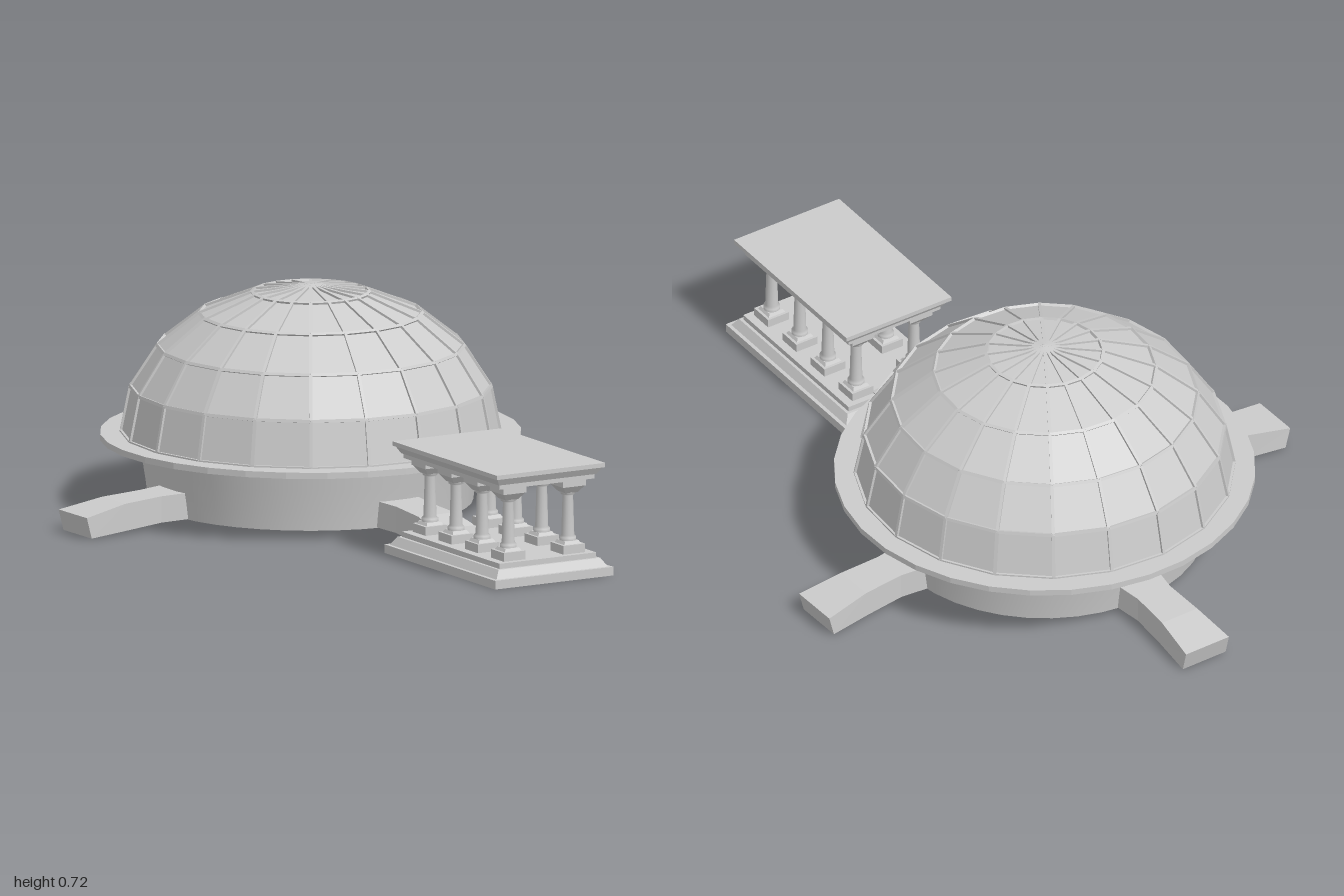
import * as THREE from 'three';
import { mergeGeometries } from 'three/addons/utils/BufferGeometryUtils.js';

const smooth = new THREE.MeshStandardMaterial({ color: 0xcccccc, side: THREE.DoubleSide });
const flat = new THREE.MeshStandardMaterial({ color: 0xcccccc, flatShading: true });

function add(parent, name, geometry, material = flat) {
  const mesh = new THREE.Mesh(geometry, material);
  mesh.name = name;
  parent.add(mesh);
  return mesh;
}

// Box between y0 and y1 whose bottom and top may differ in size
function frustum(y0, y1, w0, d0, w1 = w0, d1 = d0) {
  const g = new THREE.BoxGeometry(1, 1, 1);
  const p = g.attributes.position;
  for (let i = 0; i < p.count; i++) {
    const top = p.getY(i) > 0;
    p.setXYZ(i, p.getX(i) * (top ? w1 : w0), top ? y1 : y0, p.getZ(i) * (top ? d1 : d0));
  }
  g.computeVertexNormals();
  return g;
}

// Box bent along +x through sections of [xTop, yTop, xBottom, yBottom, halfWidth]
function loftedBox(sections) {
  const n = sections.length - 1;
  const g = new THREE.BoxGeometry(1, 1, 1, n, 1, 1);
  const p = g.attributes.position;
  for (let i = 0; i < p.count; i++) {
    const [xt, yt, xb, yb, w] = sections[Math.round((p.getX(i) + 0.5) * n)];
    const top = p.getY(i) > 0;
    p.setXYZ(i, top ? xt : xb, top ? yt : yb, p.getZ(i) * 2 * w);
  }
  g.computeVertexNormals();
  return g;
}

// Thin square bar from a to b, turned to face outward
function bar(a, b, out, width, depth) {
  const o = new THREE.Object3D();
  o.up.copy(out);
  o.position.copy(a).add(b).multiplyScalar(0.5);
  o.lookAt(b);
  o.updateMatrix();
  return new THREE.BoxGeometry(width, depth, a.distanceTo(b)).applyMatrix4(o.matrix);
}

const SIDES = 20, ROWS = 5, DOME_Y = 0.33;
function domePoint(row, side, r, h) {
  const t = (row / ROWS) * Math.PI / 2, a = (side / SIDES) * Math.PI * 2;
  return new THREE.Vector3(
    Math.sin(a) * Math.cos(t) * r, DOME_Y + Math.sin(t) * h, Math.cos(a) * Math.cos(t) * r);
}

function buildDome(hall) {
  // Faceted panels
  const profile = [];
  for (let i = 0; i <= ROWS; i++) {
    const p = domePoint(i, 0, 0.598, 0.47);
    profile.push(new THREE.Vector2(Math.max(p.z, 0), p.y));
  }
  add(hall, 'domePanels', new THREE.LatheGeometry(profile, SIDES), flat);

  // Meridian and ring ribs
  const bars = [];
  for (let s = 0; s < SIDES; s++) {
    for (let r = 0; r < ROWS; r++) {
      const a = domePoint(r, s, 0.6, 0.472), b = domePoint(r + 1, s, 0.6, 0.472);
      const c = domePoint(r, s + 1, 0.6, 0.472);
      const out = a.clone().setY(a.y - DOME_Y).normalize();
      bars.push(bar(a, b, out, 0.01, 0.01));
      bars.push(bar(a, c, out, 0.01, 0.01));
    }
  }
  add(hall, 'domeRibs', mergeGeometries(bars), flat);
}

function buildDrum(hall) {
  const v = (x, y) => new THREE.Vector2(x, y);
  add(hall, 'rim', new THREE.LatheGeometry(
    [v(0.52, 0.31), v(0.668, 0.31), v(0.668, 0.33), v(0.58, 0.33)], 32), flat);
  add(hall, 'drumWall', new THREE.LatheGeometry(
    [v(0.515, 0.112), v(0.522, 0.17), v(0.533, 0.24), v(0.545, 0.315)], 40), smooth);
  const floor = add(hall, 'drumFloor', new THREE.CircleGeometry(0.515, 40), smooth);
  floor.rotation.x = Math.PI / 2;
  floor.position.y = 0.112;

  // Slotted frame and strip on the underside
  for (const s of [-1, 1]) {
    add(hall, 'slotSide', new THREE.BoxGeometry(0.31, 0.014, 0.014))
      .position.set(0.105, 0.107, 0.007 + s * 0.028);
    add(hall, 'slotEnd', new THREE.BoxGeometry(0.014, 0.014, 0.07))
      .position.set(0.105 + s * 0.148, 0.107, 0.007);
  }
  add(hall, 'undersideStrip', new THREE.BoxGeometry(0.55, 0.006, 0.01))
    .position.set(-0.02, 0.11, 0.075);

  // Small hatch tucked below the rim
  add(hall, 'hatch', loftedBox([
    [0.5, 0.3, 0.5, 0.22, 0.11], [0.575, 0.295, 0.565, 0.235, 0.08]])).position.z = 0.03;
}

function buildColumn() {
  const column = new THREE.Group();
  column.name = 'column';
  add(column, 'plinth', frustum(0.16, 0.19, 0.08, 0.08));
  add(column, 'footBlock', frustum(0.19, 0.2, 0.062, 0.062, 0.05, 0.05));
  const v = (x, y) => new THREE.Vector2(x, y);
  add(column, 'shaft', new THREE.LatheGeometry([
    v(0.027, 0.2), v(0.027, 0.21), v(0.021, 0.216), v(0.017, 0.345),
    v(0.024, 0.35), v(0.024, 0.36)], 16), smooth);
  add(column, 'capital', frustum(0.355, 0.378, 0.045, 0.045, 0.08, 0.08));
  add(column, 'capitalSlab', frustum(0.378, 0.4, 0.085, 0.085));
  return column;
}

function buildPortico() {
  const portico = new THREE.Group();
  portico.name = 'portico';
  // Stepped base
  add(portico, 'lowerStep', frustum(0.09, 0.118, 0.68, 0.436));
  add(portico, 'middleStep', frustum(0.118, 0.145, 0.655, 0.411, 0.62, 0.376));
  add(portico, 'upperStep', frustum(0.145, 0.162, 0.6, 0.356));
  // Two rows of four columns
  for (let i = 0; i < 4; i++) {
    for (const s of [-1, 1]) {
      const column = buildColumn();
      column.position.set((i - 1.5) * 0.16, 0, s * 0.11);
      portico.add(column);
    }
  }
  // Roof mouldings
  add(portico, 'architrave', frustum(0.4, 0.415, 0.59, 0.35));
  add(portico, 'cornice', frustum(0.415, 0.438, 0.6, 0.36, 0.628, 0.388));
  add(portico, 'roofSlab', frustum(0.438, 0.452, 0.64, 0.4));
  return portico;
}

export function createModel() {
  const model = new THREE.Group();
  model.name = 'domedHall';

  const hall = new THREE.Group();
  hall.name = 'hall';
  hall.position.set(-0.26, 0, -0.185);
  model.add(hall);
  buildDome(hall);
  buildDrum(hall);

  // Four flaring feet, the last one leading to the portico
  for (let i = 0; i < 4; i++) {
    const foot = add(hall, 'foot', loftedBox([
      [0.48, 0.2, 0.48, 0.115, 0.08], [0.6, 0.195, 0.6, 0.11, 0.062],
      [0.74, 0.187, 0.73, 0.1, 0.068], [0.893, i ? 0.16 : 0.15, 0.875, 0.092, 0.083]]));
    foot.rotation.y = -THREE.MathUtils.degToRad(39.5 + i * 90);
  }

  const portico = buildPortico();
  portico.position.set(0.595, 0, 0.522);
  portico.rotation.y = -THREE.MathUtils.degToRad(41);
  model.add(portico);
  return model;
}
